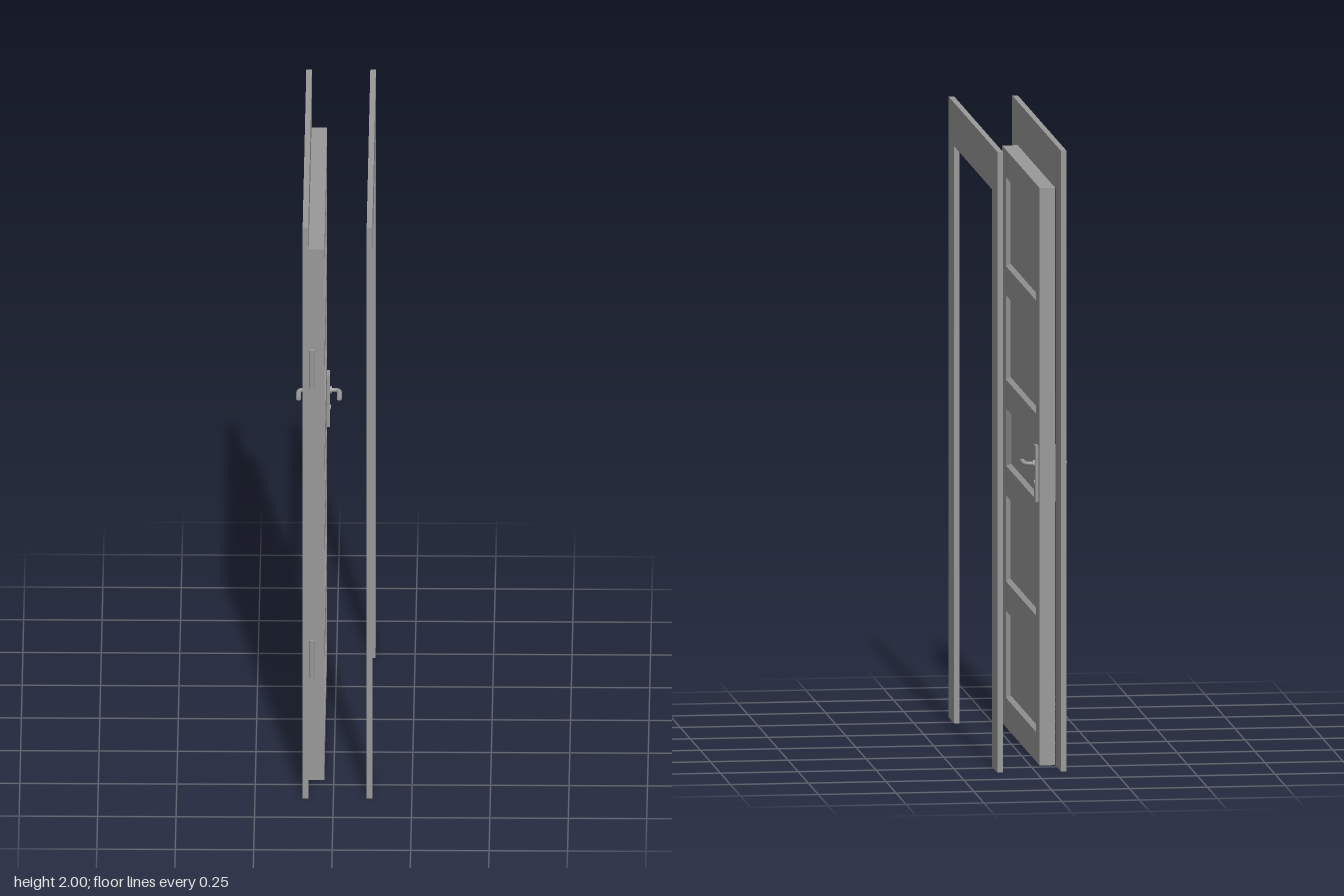
import * as THREE from 'three';

const grey = new THREE.MeshStandardMaterial({ color: 0x999999 });
grey.name = 'plain grey';

const DOOR_X = -0.055, HALF_T = 0.025, HALF_W = 0.466, DOOR_H = 1.86;

// recessed panels: bottom, top, side bevel width
const PANELS = [
  [0.095, 0.375, 0.01],
  [0.47, 0.747, 0.01],
  [0.843, 1.027, 0.03],
  [1.12, 1.392, 0.01],
  [1.485, 1.772, 0.01],
];
const PANEL_HALF = 0.37;

function add(parent, name, geometry, x = 0, y = 0, z = 0) {
  const mesh = new THREE.Mesh(geometry, grey);
  mesh.name = name;
  mesh.position.set(x, y, z);
  parent.add(mesh);
  return mesh;
}

function polygon(points, Type = THREE.Shape) {
  return new Type(points.map(([u, v]) => new THREE.Vector2(u, v)));
}

// extrude a shape drawn in the z-y plane along +x, starting at x0
function slab(shape, x0, thickness) {
  const g = new THREE.ExtrudeGeometry(shape, { depth: thickness, bevelEnabled: false });
  return g.rotateY(Math.PI / 2).translate(x0, 0, 0);
}

// sloped border and sunken field of one panel, facing +x
function panelGeometry(y0, y1, side) {
  const depth = 0.013, rim = 0.01;
  const ring = (x, w, a, b) => [[x, a, w], [x, a, -w], [x, b, -w], [x, b, w]];
  const outer = ring(HALF_T, PANEL_HALF, y0, y1);
  const inner = ring(HALF_T - depth, PANEL_HALF - side, y0 + rim, y1 - rim);
  const pos = [];
  const quad = (a, b, c, d) => pos.push(...a, ...b, ...c, ...a, ...c, ...d);
  for (let i = 0; i < 4; i++) {
    const j = (i + 1) % 4;
    quad(outer[i], outer[j], inner[j], inner[i]);
  }
  quad(...inner);
  const g = new THREE.BufferGeometry();
  g.setAttribute('position', new THREE.Float32BufferAttribute(pos, 3));
  g.computeVertexNormals();
  return g;
}

function makeCasing(name, x0, thickness) {
  const o = 0.605, i = 0.469, top = 2;
  const shape = polygon([[-o, 0], [-i, 0], [-i, DOOR_H], [i, DOOR_H], [i, 0], [o, 0], [o, top], [-o, top]]);
  const mesh = new THREE.Mesh(slab(shape, x0, thickness), grey);
  mesh.name = name;
  return mesh;
}

function makeLeaf() {
  const leaf = new THREE.Group();
  leaf.name = 'doorLeaf';
  leaf.position.x = DOOR_X;

  // stiles and rails in one slab with panel openings
  const shape = polygon([[-HALF_W, 0], [HALF_W, 0], [HALF_W, DOOR_H], [-HALF_W, DOOR_H]]);
  for (const [a, b] of PANELS) {
    const w = PANEL_HALF;
    shape.holes.push(polygon([[-w, a], [-w, b], [w, b], [w, a]], THREE.Path));
  }
  add(leaf, 'stilesAndRails', slab(shape, -HALF_T, HALF_T * 2));

  // panels on both faces
  for (const [a, b, side] of PANELS) {
    const g = panelGeometry(a, b, side);
    add(leaf, 'panelRight', g);
    add(leaf, 'panelLeft', g).rotation.y = Math.PI;
  }
  return leaf;
}

// lever handle set; s = 1 or -1 picks the face of the door
function makeHandle(s) {
  const group = new THREE.Group();
  group.name = s > 0 ? 'handleInside' : 'handleOutside';
  group.position.set(DOOR_X + s * HALF_T, 0.965, -0.413);

  add(group, 'backPlate', new THREE.BoxGeometry(0.009, 0.18, 0.044), s * 0.0045, -0.03, 0);
  const collar = new THREE.CylinderGeometry(0.012, 0.012, 0.008, 20).rotateZ(Math.PI / 2);
  add(group, 'collar', collar, s * 0.012, 0, 0);
  const lock = new THREE.CylinderGeometry(0.008, 0.008, 0.004, 16).rotateZ(Math.PI / 2);
  add(group, 'keyhole', lock, s * 0.01, -0.06, 0);

  // stem, bend and grip
  const path = new THREE.CurvePath();
  const v = (x, z) => new THREE.Vector3(s * x, 0, z);
  path.add(new THREE.LineCurve3(v(0, 0), v(0.022, 0)));
  path.add(new THREE.QuadraticBezierCurve3(v(0.022, 0), v(0.04, 0), v(0.04, 0.02)));
  path.add(new THREE.LineCurve3(v(0.04, 0.02), v(0.04, 0.068)));
  add(group, 'lever', new THREE.TubeGeometry(path, 32, 0.008, 12)).scale.y = 0.8;
  add(group, 'leverEnd', new THREE.CircleGeometry(0.008, 12), s * 0.04, 0, 0.068).scale.y = 0.8;
  return group;
}

export function createModel() {
  const model = new THREE.Group();
  model.name = 'door';

  model.add(makeCasing('casingLeft', -0.098, 0.018));
  model.add(makeCasing('casingRight', 0.106, 0.018));
  model.add(makeLeaf());
  model.add(makeHandle(1), makeHandle(-1));

  // hinge barrels
  for (const y of [0.425, 1.442]) {
    add(model, 'hinge', new THREE.CylinderGeometry(0.009, 0.009, 0.134, 16), -0.07, y, 0.468);
  }
  return model;
}
